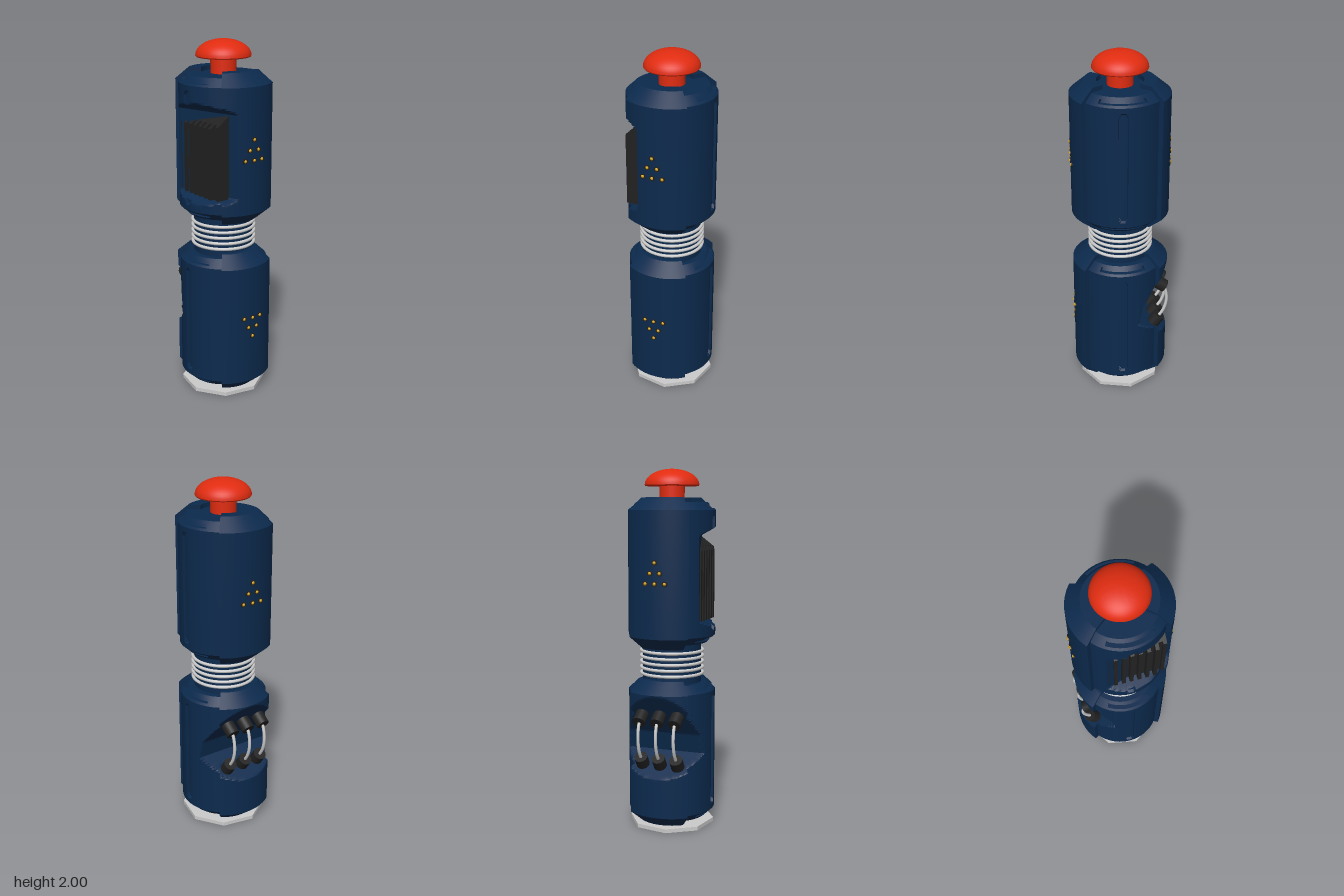
import * as THREE from 'three';
import { toCreasedNormals } from 'three/addons/utils/BufferGeometryUtils.js';

const mat = (color, side = THREE.FrontSide) => new THREE.MeshStandardMaterial({ color, side });
const NAVY = mat(0x0c2a4d), NAVY2 = mat(0x0c2a4d, THREE.DoubleSide), RED = mat(0xe02c10);
const BLACK = mat(0x222222), GOLD = mat(0xd9a520), GREY = mat(0xcccccc);

function add(parent, name, geometry, material, x = 0, y = 0, z = 0) {
  const mesh = new THREE.Mesh(geometry, material);
  mesh.name = name;
  mesh.position.set(x, y, z);
  parent.add(mesh);
  return mesh;
}

const linspace = (a, b, n) => Array.from({ length: n + 1 }, (_, i) => a + (b - a) * i / n);

// Piecewise linear lookup; unlimited outside the listed heights
function limitAt(table, y) {
  for (let i = 1; i < table.length; i++) {
    const [y0, a] = table[i - 1], [y1, b] = table[i];
    if (y >= y0 && y <= y1) return a + (b - a) * (y - y0) / (y1 - y0);
  }
  return Infinity;
}

// Planar recess facing (nx, nz), its depth given by height
const recess = (nx, nz, table) => (r, t, y) => {
  const d = nx * Math.sin(t) + nz * Math.cos(t);
  return d > 0.01 ? Math.min(r, limitAt(table, y) / d) : r;
};

// Columns: wide front/back panels and grooved side panels
const PANEL = 0.68, SIDE = Math.PI / 2 - PANEL, ARC = 0.58, SLOT = 0.1;
const sideAngles = [
  ...linspace(-SIDE, -ARC - 0.002, 6), ...linspace(-ARC, -SLOT - 0.002, 14), ...linspace(-SLOT, SLOT, 8),
  ...linspace(SLOT + 0.002, ARC, 14), ...linspace(ARC + 0.002, SIDE, 6),
];
const columns = [];
for (let q = 0; q < 4; q++) {
  const side = q % 2 === 1;
  for (const a of side ? sideAngles : linspace(-PANEL, PANEL, 28)) columns.push({ t: q * Math.PI / 2 + a, a, side });
}
columns.push(columns[0]);

// Profile up one column: cap, chamfer with arc groove, straight wall, then mirrored
function profile({ a, side }, h) {
  const cap = side ? [[0, 0.025], [0.125, 0.025], [0.125, 0.025]] : [[0, 0.025], [0.125, 0.025], [0.125, 0]];
  const [r0, y0, r1, y1] = side ? [0.197, 0.025, 0.243, 0.068] : [0.192, 0, 0.27, 0.066];
  const cut = side && Math.abs(a) <= ARC + 0.001 ? 0.024 : 0;
  const chamfer = [[0, 0], [0.3, 0], [0.3, cut], [0.75, cut], [0.75, 0], [1, 0]]
    .map(([k, c]) => [r0 + (r1 - r0) * k - c, y0 + (y1 - y0) * k]);
  const low = [...cap, ...chamfer];
  const wall = linspace(y1, h - y1, 72).slice(1, -1).map((y) => {
    const past = Math.max(0, Math.abs(y - h / 2) - (h / 2 - 0.125));
    const inSlot = side && Math.abs(a) <= SLOT + 0.001 && Math.hypot(a * r1, past) <= 0.0245;
    return [inSlot ? r1 - 0.014 : r1, y];
  });
  return [...low, ...wall, ...low.map(([r, y]) => [r, h - y]).reverse()];
}

function bodyGeometry(base, h, carve) {
  const grid = columns.map((c) => profile(c, h).map(([r, y]) => {
    const rr = carve(r, c.t, y + base);
    return [rr * Math.sin(c.t), y + base, rr * Math.cos(c.t)];
  }));
  const rows = grid[0].length, index = [];
  for (let i = 0; i < grid.length - 1; i++) {
    for (let j = 0; j < rows - 1; j++) {
      const p = i * rows + j, q = p + rows;
      index.push(p, q, q + 1, p, q + 1, p + 1);
    }
  }
  const g = new THREE.BufferGeometry();
  g.setAttribute('position', new THREE.Float32BufferAttribute(grid.flat(2), 3));
  g.setIndex(index);
  return toCreasedNormals(g, 0.4);
}

// Triangle of six small lamps on a panel; dir flips it, face is +1 front or -1 back
function lamps(parent, y, dir, face) {
  const group = new THREE.Group();
  group.name = face > 0 ? 'frontLamps' : 'backLamps';
  for (let row = 0; row < 3; row++) {
    for (let k = 0; k <= row; k++) {
      const x = (k - row / 2) * 0.055, z = face * Math.sqrt(0.27 ** 2 - x * x);
      const ly = y + dir * (1 - row) * 0.056;
      const socket = add(group, 'lampSocket', new THREE.CylinderGeometry(0.016, 0.016, 0.006, 16), BLACK, x, ly, z);
      socket.rotation.x = Math.PI / 2;
      add(group, 'lamp', new THREE.SphereGeometry(0.0095, 12, 8), GOLD, x, ly, z);
    }
  }
  parent.add(group);
}

export function createModel() {
  const model = new THREE.Group();
  model.name = 'plungerCanister';

  // Base plate
  add(model, 'basePlate', toCreasedNormals(new THREE.CylinderGeometry(0.24, 0.24, 0.022, 8), 0.4), GREY, 0, 0.014, 0)
    .rotation.y = 0.2;
  add(model, 'baseCore', new THREE.CylinderGeometry(0.12, 0.12, 0.05, 32), NAVY, 0, 0.045, 0);

  // Lower and upper bodies with their recesses
  const wireBay = recess(0, -1, [[0.315, 0.27], [0.44, 0.09], [0.545, 0.11], [0.78, 0.27]]);
  const ventBay = recess(-0.96, 0.28, [[1.125, 0.27], [1.18, 0.16], [1.64, 0.16], [1.7, 0.27]]);
  add(model, 'lowerBody', bodyGeometry(0.03, 0.82, wireBay), NAVY2);
  add(model, 'upperBody', bodyGeometry(1.025, 0.82, ventBay), NAVY2);

  // Neck with rings
  add(model, 'neck', new THREE.CylinderGeometry(0.165, 0.165, 0.28, 48), NAVY, 0, 0.94, 0);
  for (let i = 0; i < 5; i++) {
    add(model, 'neckRing', new THREE.TorusGeometry(0.173, 0.009, 10, 48), GREY, 0, 0.873 + i * 0.032, 0)
      .rotation.x = Math.PI / 2;
  }

  // Vent fins with sloping tops
  const fin = (out, depth) => {
    const s = new THREE.Shape([[-0.09, 1.175], [-out, 1.175], [-out, 1.64 - (out - 0.095) * 0.76], [-0.095, 1.64]]
      .map(([x, y]) => new THREE.Vector2(x, y)));
    return new THREE.ExtrudeGeometry(s, { depth, bevelEnabled: false });
  };
  const vent = new THREE.Group();
  vent.name = 'vent';
  add(vent, 'ventBlock', fin(0.17, 0.31), BLACK, 0, 0, -0.125);
  for (let i = 0; i < 8; i++) add(vent, 'ventFin', fin(i === 7 ? 0.183 : 0.2, 0.02), BLACK, 0, 0, -0.13 + i * 0.0435);
  model.add(vent);

  // Lamp triangles
  lamps(model, 1.446, 1, 1);
  lamps(model, 1.446, 1, -1);
  lamps(model, 0.43, -1, 1);

  // Wires and their plugs at the back
  const plug = new THREE.CylinderGeometry(0.037, 0.037, 0.075, 24);
  const up = new THREE.Vector3(0, 1, 0);
  for (const x of [-0.103, 0, 0.103]) {
    add(model, 'upperPlug', plug, BLACK, x, 0.645, -0.217)
      .quaternion.setFromUnitVectors(up, new THREE.Vector3(0, -0.555, -0.832));
    add(model, 'lowerPlug', plug, BLACK, x, 0.393, -0.2)
      .quaternion.setFromUnitVectors(up, new THREE.Vector3(0, 0.817, -0.577));
    const path = new THREE.CatmullRomCurve3([[0.645, -0.215], [0.618, -0.245], [0.54, -0.262], [0.465, -0.247], [0.39, -0.2]]
      .map(([y, z]) => new THREE.Vector3(x, y, z)));
    add(model, 'wire', new THREE.TubeGeometry(path, 32, 0.009, 10), GREY);
  }

  // Push button
  add(model, 'buttonStem', new THREE.CylinderGeometry(0.07, 0.07, 0.12, 40), RED, 0, 1.86, 0);
  const dome = [[0, 1.907], [0.146, 1.907], [0.15, 1.913]];
  for (let i = 1; i <= 12; i++) {
    const a = i / 12 * Math.PI / 2;
    dome.push([0.15 * Math.cos(a), 1.913 + 0.087 * Math.sin(a)]);
  }
  const domeGeometry = new THREE.LatheGeometry(dome.map(([r, y]) => new THREE.Vector2(Math.max(r, 0), y)), 56);
  add(model, 'buttonDome', toCreasedNormals(domeGeometry, 0.6), RED);

  return model;
}
